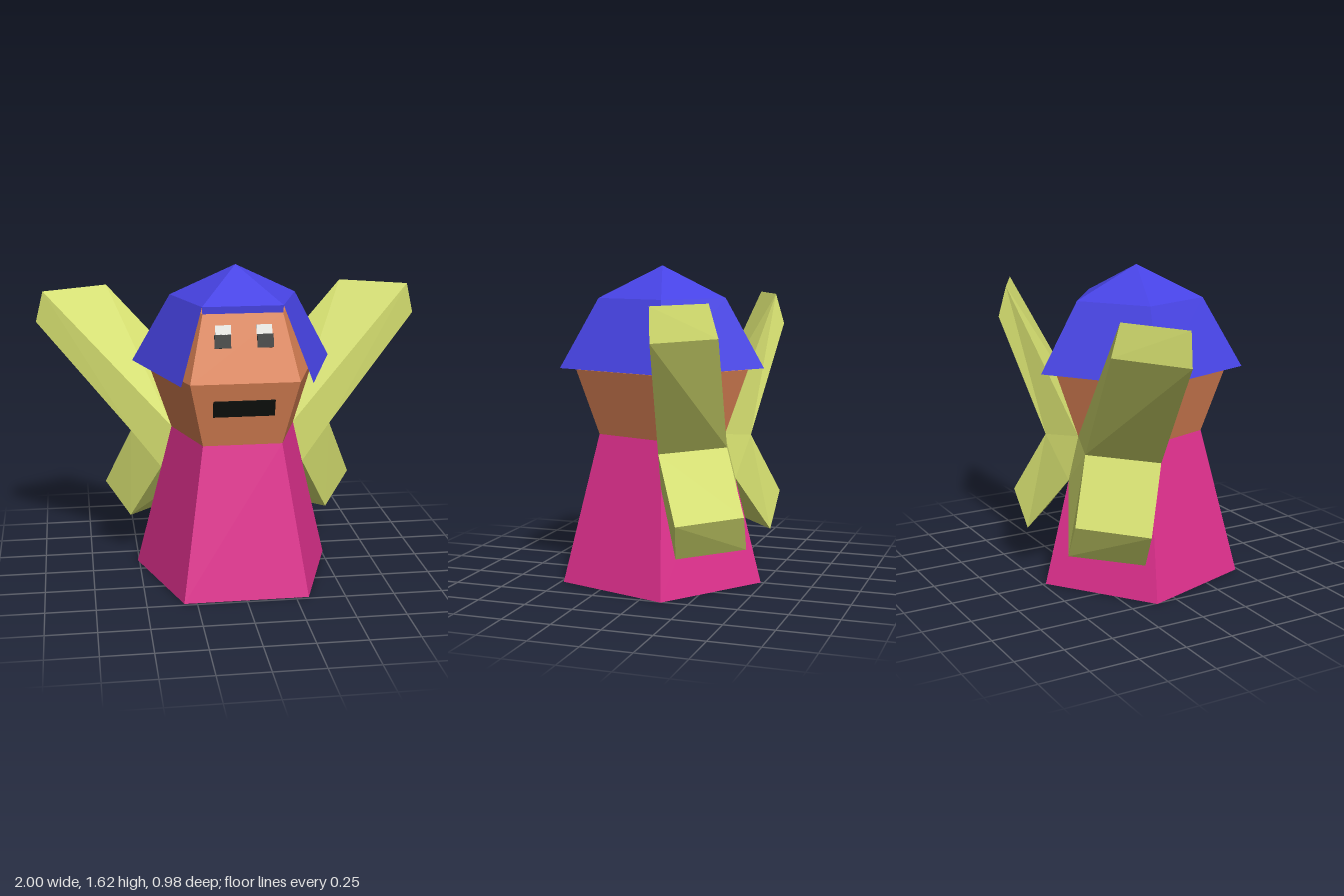
import * as THREE from 'three';

const CZ = 0.052; // z of the five-sided axis
const STEP = Math.PI * 2 / 5;

function material(name, color, side = THREE.FrontSide) {
  const m = new THREE.MeshStandardMaterial({ color, flatShading: true, side });
  m.name = name;
  return m;
}

export function createModel() {
  const model = new THREE.Group();
  model.name = 'wingedFigure';
  const pink = material('pinkDress', 0xe0308e);
  const skin = material('orangeSkin', 0xe08557);
  const blue = material('blueHood', 0x4743e4, THREE.DoubleSide);
  const lime = material('paleLimeWing', 0xd6e070);
  const white = material('eyeWhite', 0xeeeeea);
  const black = material('black', 0x0e110e);

  function add(name, geometry, mat) {
    const mesh = new THREE.Mesh(geometry, mat);
    mesh.name = name;
    model.add(mesh);
    return mesh;
  }

  // Five-sided section with a flat side to the front; "first" and "sides" pick a partial wall
  function section(name, mat, y0, r0, y1, r1, open = false, first = 0, sides = 5) {
    const g = new THREE.CylinderGeometry(r1, r0, y1 - y0, sides, 1, open, STEP * (0.5 + first), STEP * sides);
    add(name, g, mat).position.set(0, (y0 + y1) / 2, CZ);
  }

  section('dress', pink, 0, 0.535, 0.765, 0.338);
  section('lowerHead', skin, 0.765, 0.338, 1.10, 0.457);
  section('upperHead', skin, 1.10, 0.457, 1.425, 0.333);

  // Hood, open over the face
  section('hoodSides', blue, 1.11, 0.541, 1.46, 0.338, true, 0, 4);
  section('hoodBrow', blue, 1.425, 0.335, 1.46, 0.338, true, 4, 1);
  section('hoodPeak', blue, 1.46, 0.338, 1.622, 0, true);

  // Thin face plates lying on the sloping front of the head
  function plate(name, mat, x, y, w, h, y0, z0, y1, z1) {
    const tilt = Math.atan2(z1 - z0, y1 - y0);
    const z = z0 + (z1 - z0) * (y - y0) / (y1 - y0);
    const mesh = add(name, new THREE.BoxGeometry(w, h / Math.cos(tilt), 0.008), mat);
    mesh.position.set(x, y, z + 0.002);
    mesh.rotation.x = tilt;
  }
  const upper = [1.10, 0.422, 1.425, 0.321];
  const lower = [0.765, 0.325, 1.10, 0.422];
  for (const s of [-1, 1]) {
    plate('eyeWhite', white, s * 0.1, 1.35, 0.077, 0.044, ...upper);
    plate('eyePupil', black, s * 0.104, 1.297, 0.08, 0.064, ...upper);
  }
  plate('mouth', black, -0.002, 0.967, 0.305, 0.084, ...lower);

  // Wing outlines: root top, upper tip, fold, lower tip, root bottom
  const front = [[0.32, 0.765, -0.052], [0.96, 1.46, -0.22], [1.0, 1.3, -0.237], [0.53, 0.735, -0.11],
    [0.665, 0.418, -0.24], [0.537, 0.23, -0.2], [0.377, 0.54, -0.07]];
  const back = [[0, 0.765, -0.286], [0.63, 1.46, -0.39], [0.63, 1.3, -0.437], [0.225, 0.735, -0.363],
    [0.36, 0.418, -0.49], [0.24, 0.23, -0.47], [0, 0.54, -0.344]];

  function wing(name, s) {
    const pos = [];
    const tri = (a, b, c) => {
      for (const p of s > 0 ? [a, b, c] : [a, c, b]) pos.push(s * p[0], p[1], p[2]);
    };
    const n = front.length;
    // Edge walls; the root against the body stays open
    for (let i = 0; i < n - 1; i++) {
      tri(front[i], front[i + 1], back[i + 1]);
      tri(front[i], back[i + 1], back[i]);
    }
    // Front and back faces fan out from the fold
    for (let k = 1; k < n - 1; k++) {
      const a = (3 + k) % n, b = (4 + k) % n;
      tri(front[3], front[b], front[a]);
      tri(back[3], back[a], back[b]);
    }
    const g = new THREE.BufferGeometry();
    g.setAttribute('position', new THREE.Float32BufferAttribute(pos, 3));
    g.computeVertexNormals();
    add(name, g, lime);
  }
  wing('leftWing', 1);
  wing('rightWing', -1);

  return model;
}
